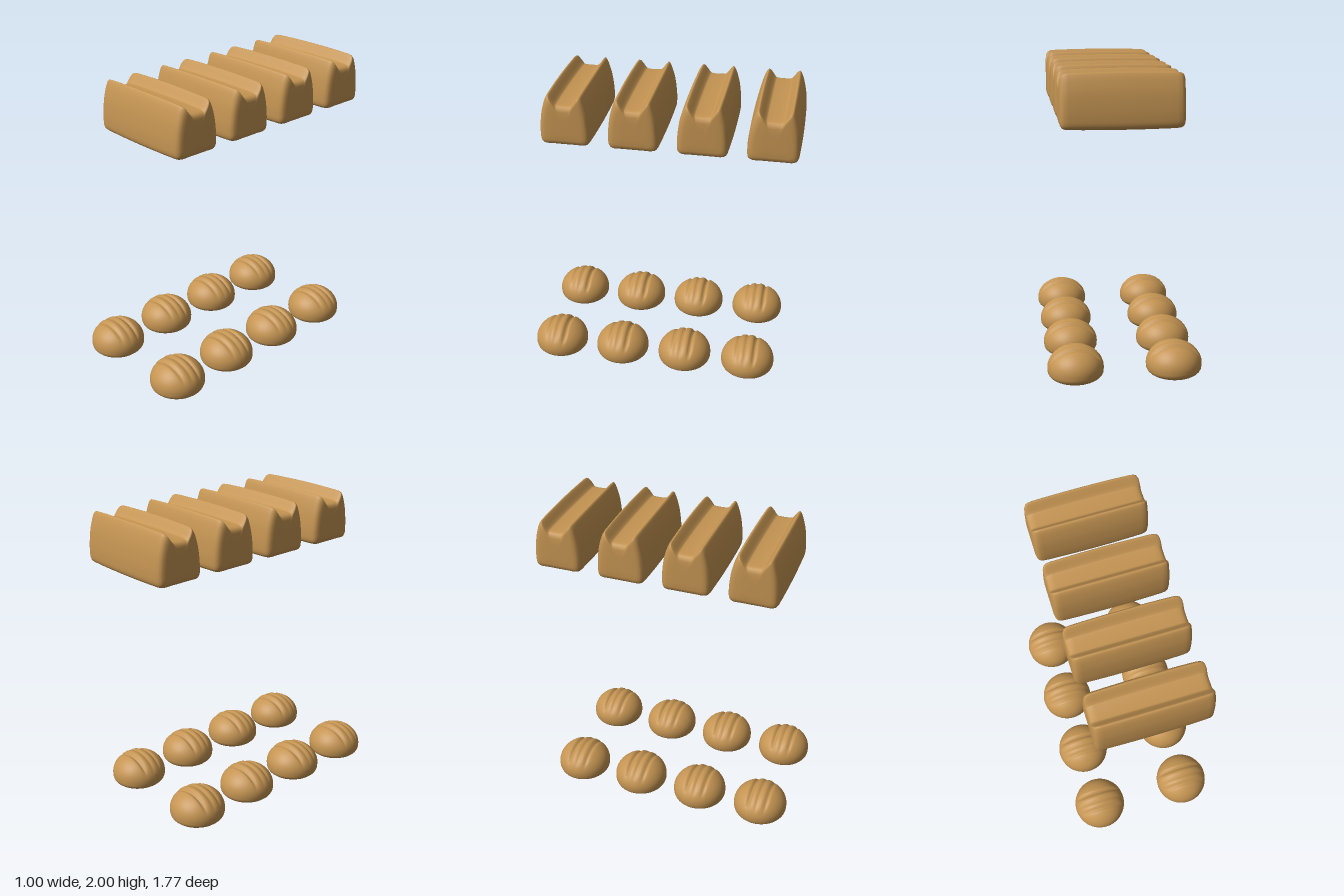
import * as THREE from 'three';
import { mergeVertices } from 'three/addons/utils/BufferGeometryUtils.js';

// Loaf: a twin-ridged cross-section swept along x, shrinking at the rounded ends
function loafGeometry() {
  const half = [[0.04, 1.939], [0.055, 1.943], [0.09, 1.988], [0.103, 2.0], [0.115, 1.99],
    [0.146, 1.9], [0.16, 1.81], [0.164, 1.74], [0.159, 1.685], [0.14, 1.667], [0.07, 1.665]];
  const outline = [...half, ...half.map(([z, y]) => [-z, y]).reverse()];
  const curve = new THREE.CatmullRomCurve3(outline.map(([z, y]) => new THREE.Vector3(0, y, z)), true);
  const ring = curve.getPoints(88).slice(0, -1);
  const n = ring.length, midY = 1.8, halfLength = 0.3725;

  // inset from the end, and scale of the section there
  const end = [[0, 0], [0, 0.4], [0.001, 0.7], [0.005, 0.82], [0.014, 0.91], [0.03, 0.955],
    [0.055, 0.972], [0.14, 0.985], [0.25, 0.996]];
  const sections = [
    ...end.map(([inset, s]) => [-halfLength + inset, s]),
    [0, 1],
    ...end.map(([inset, s]) => [halfLength - inset, s]).reverse(),
  ];
  const positions = [], index = [];
  sections.forEach(([x, s], i) => {
    ring.forEach((p, j) => {
      positions.push(x, midY + (p.y - midY) * s, p.z * s);
      if (i === 0) return;
      const a = (i - 1) * n + j, b = (i - 1) * n + (j + 1) % n;
      index.push(a, b, a + n, b, b + n, a + n);
    });
  });
  const geometry = new THREE.BufferGeometry();
  geometry.setAttribute('position', new THREE.Float32BufferAttribute(positions, 3));
  geometry.setIndex(index);
  const welded = mergeVertices(geometry, 1e-5);
  welded.computeVertexNormals();
  return welded;
}

// Bun: a sphere with a domed top, a flattened base and scored grooves running along x
function bunGeometry() {
  const radius = 0.182, beltY = 0.09;
  const grooves = [[0.066, 0.013], [0.008, 0.011], [-0.052, 0.022]]; // z, depth
  let geometry = new THREE.SphereGeometry(1, 36, 56).rotateX(Math.PI / 2);
  geometry.deleteAttribute('uv');
  geometry.deleteAttribute('normal');
  geometry = mergeVertices(geometry, 1e-4);
  const p = geometry.attributes.position;
  for (let i = 0; i < p.count; i++) {
    const d = p.getY(i), z = p.getZ(i) * radius;
    let y = d > 0 ? beltY + 0.146 * d : beltY - 0.086 * Math.pow(-d, 0.6);
    for (const [gz, depth] of grooves) {
      const t = (z - gz) / 0.011;
      y -= depth * Math.exp(-t * t) * THREE.MathUtils.smoothstep(d, 0.25, 0.75);
    }
    p.setXYZ(i, p.getX(i) * radius, y, z);
  }
  geometry.computeVertexNormals();
  return geometry;
}

export function createModel() {
  const model = new THREE.Group();
  model.name = 'breadDisplay';
  const crust = new THREE.MeshStandardMaterial({ color: 0xc49452 });
  crust.name = 'golden crust';

  const add = (geometry, name, x, z) => {
    const mesh = new THREE.Mesh(geometry, crust);
    mesh.name = name;
    mesh.position.set(x, 0, z);
    model.add(mesh);
  };

  // Four loaves above, four pairs of buns below
  const loaf = loafGeometry(), bun = bunGeometry();
  for (let i = 0; i < 4; i++) {
    add(loaf, `loaf${i + 1}`, 0.043, 0.574 - i * 0.432);
    for (const side of [1, -1]) {
      add(bun, `${side > 0 ? 'left' : 'right'}Bun${i + 1}`, side * 0.32, 0.703 - i * 0.444);
    }
  }
  return model;
}
